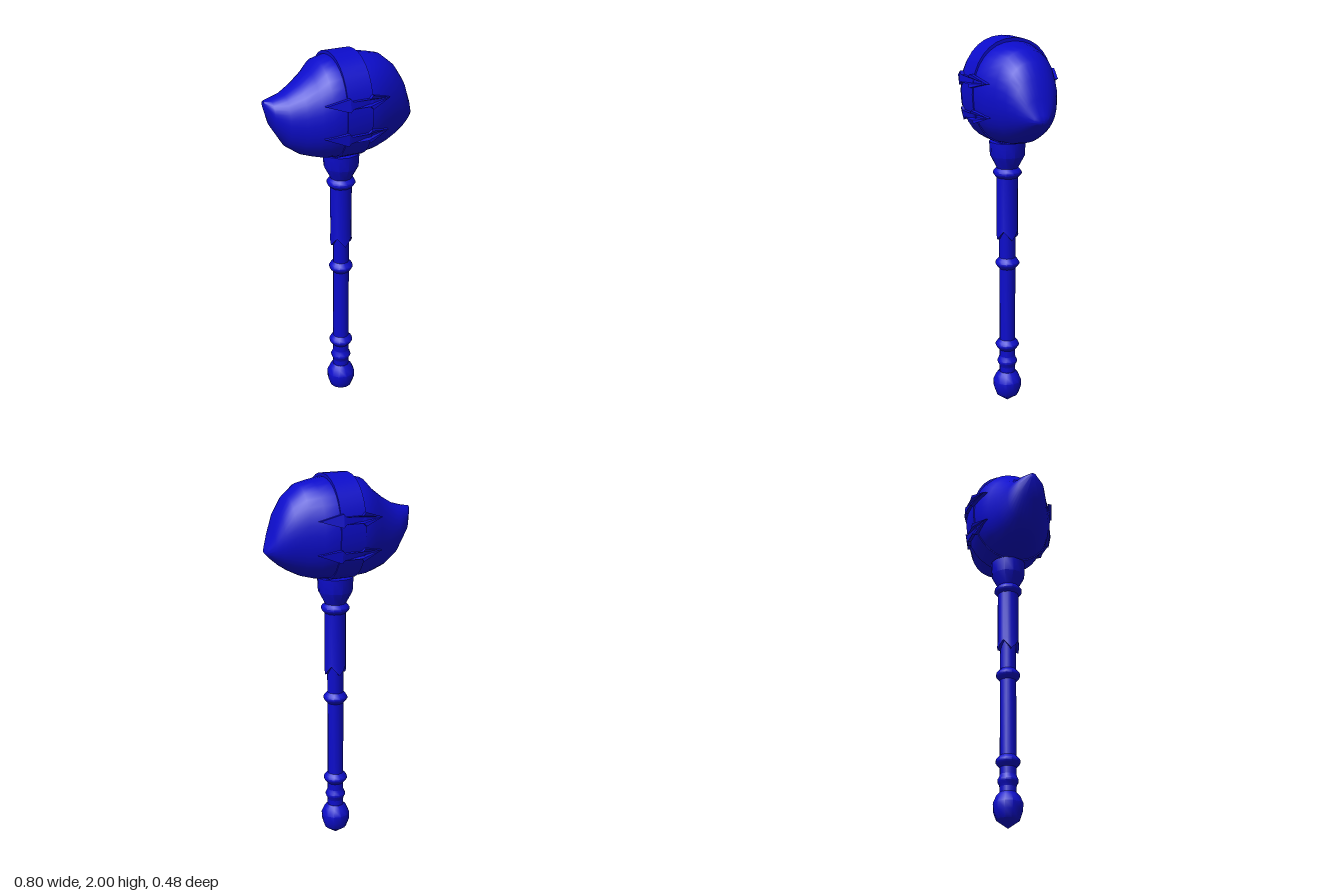
import * as THREE from 'three';
import { toCreasedNormals } from 'three/addons/utils/BufferGeometryUtils.js';

const CX = 0.012; // axis of the handle and band
const material = new THREE.MeshStandardMaterial({ color: 0x0c0ccc, side: THREE.DoubleSide });

function part(name, geometry, crease = 0.65) {
  const mesh = new THREE.Mesh(toCreasedNormals(geometry, crease), material);
  mesh.name = name;
  return mesh;
}

// Turned part from [radius, y] pairs, bottom to top
function turned(name, profile, sides = 12) {
  const points = profile.map(([r, y]) => new THREE.Vector2(r, y));
  const mesh = part(name, new THREE.LatheGeometry(points, sides));
  mesh.position.x = CX;
  return mesh;
}

// Rounded sections [x, top, bottom, half width] joined along x, closed at both ends
function loft(sections, segments = 32) {
  const pinch = ([x, t, b]) => [x, (t + b) / 2, (t + b) / 2, 0];
  const rows = [pinch(sections[0]), ...sections, pinch(sections.at(-1))];
  const round = (v) => Math.sign(v) * Math.abs(v) ** 0.92;
  const positions = [], index = [];
  rows.forEach(([x, top, bottom, w], i) => {
    for (let j = 0; j < segments; j++) {
      const a = (j / segments) * Math.PI * 2;
      positions.push(x, (top + bottom) / 2 + (top - bottom) / 2 * round(Math.sin(a)), w * round(Math.cos(a)));
      if (i === rows.length - 1) continue;
      const k = (j + 1) % segments, p = i * segments, q = p + segments;
      index.push(p + j, q + j, q + k, p + j, q + k, p + k);
    }
  });
  const geometry = new THREE.BufferGeometry();
  geometry.setAttribute('position', new THREE.Float32BufferAttribute(positions, 3));
  geometry.setIndex(index);
  return geometry;
}

// Pointed clasp plate, bent back towards its two tips
function claspGeometry() {
  const outline = [[-0.17, 0], [-0.06, 0.034], [-0.045, 0.018], [0.045, 0.018], [0.06, 0.034],
    [0.17, 0], [0.06, -0.034], [0.045, -0.018], [-0.045, -0.018], [-0.06, -0.034]];
  const shape = new THREE.Shape(outline.map(([x, y]) => new THREE.Vector2(x, y)));
  const geometry = new THREE.ExtrudeGeometry(shape, { depth: 0.02, bevelEnabled: false });
  const p = geometry.attributes.position;
  for (let i = 0; i < p.count; i++) {
    p.setZ(i, p.getZ(i) - Math.max(0, Math.abs(p.getX(i)) - 0.06) * 0.36);
  }
  return geometry;
}

export function createModel() {
  const model = new THREE.Group();
  model.name = 'warHammer';

  // Handle
  model.add(turned('pommel', [[0, 0], [0.03, 0.022], [0.06, 0.043], [0.075, 0.085], [0.077, 0.125],
    [0.062, 0.16], [0.045, 0.18], [0, 0.18]]));
  model.add(turned('shaft', [[0, 0.17], [0.043, 0.17], [0.043, 1.02], [0, 1.02]]));
  const ring = (name, y, r, h, inner) => turned(name, [[inner, y - h], [r - 0.007, y - h * 0.5],
    [r, y - h * 0.15], [r, y + h * 0.15], [r - 0.007, y + h * 0.5], [inner, y + h]]);
  model.add(ring('pommelRing', 0.24, 0.054, 0.035, 0.042));
  model.add(ring('lowerGripRing', 0.34, 0.064, 0.032, 0.042));
  model.add(ring('upperGripRing', 0.81, 0.064, 0.032, 0.042));
  model.add(ring('neckRing', 1.305, 0.075, 0.03, 0.052));

  // Sleeve with a pointed lower edge
  const sleeve = new THREE.LatheGeometry([[0.043, 0.97], [0.058, 0.97], [0.056, 1.01], [0.056, 1.29]]
    .map(([r, y]) => new THREE.Vector2(r, y)), 16);
  const sp = sleeve.attributes.position;
  for (let i = 0; i < sp.count; i++) {
    if (sp.getY(i) < 0.99) {
      sp.setY(i, 0.97 - 0.025 * Math.cos(4 * Math.atan2(sp.getZ(i), sp.getX(i))));
    }
  }
  const sleeveMesh = part('sleeve', sleeve);
  sleeveMesh.position.x = CX;
  model.add(sleeveMesh);

  // Cup under the head
  model.add(turned('headSocket', [[0.052, 1.32], [0.058, 1.335], [0.09, 1.395], [0.094, 1.47], [0, 1.48]]));

  // Head: raised beak on one side, blunt slope on the other
  model.add(part('head', loft([
    [-0.4, 1.805, 1.77, 0.018], [-0.365, 1.81, 1.665, 0.073], [-0.3, 1.828, 1.56, 0.11],
    [-0.23, 1.87, 1.51, 0.145], [-0.165, 1.92, 1.488, 0.177], [-0.12, 1.968, 1.476, 0.2],
    [-0.06, 1.983, 1.472, 0.218], [0.08, 1.983, 1.472, 0.218], [0.15, 1.972, 1.48, 0.197],
    [0.217, 1.957, 1.498, 0.167], [0.28, 1.905, 1.53, 0.14], [0.325, 1.835, 1.56, 0.112],
    [0.36, 1.74, 1.59, 0.076], [0.385, 1.665, 1.615, 0.04], [0.397, 1.64, 1.63, 0.015],
  ]), 0.9));
  model.add(part('headBand', loft([[-0.055, 2, 1.465, 0.224], [0.079, 2, 1.465, 0.224]])));

  // Two clasps on the front and two on the back
  for (const turn of [0, Math.PI]) {
    const side = new THREE.Group();
    side.name = turn ? 'backClasps' : 'frontClasps';
    for (const [name, y, z, tilt] of [['upperClasp', 1.8, 0.216, -0.06], ['lowerClasp', 1.625, 0.203, 0.2]]) {
      const clasp = part(name, claspGeometry(), 0.3);
      clasp.position.set(0, y, z);
      clasp.rotation.x = tilt;
      side.add(clasp);
    }
    side.position.x = CX;
    side.rotation.y = turn;
    model.add(side);
  }
  return model;
}
